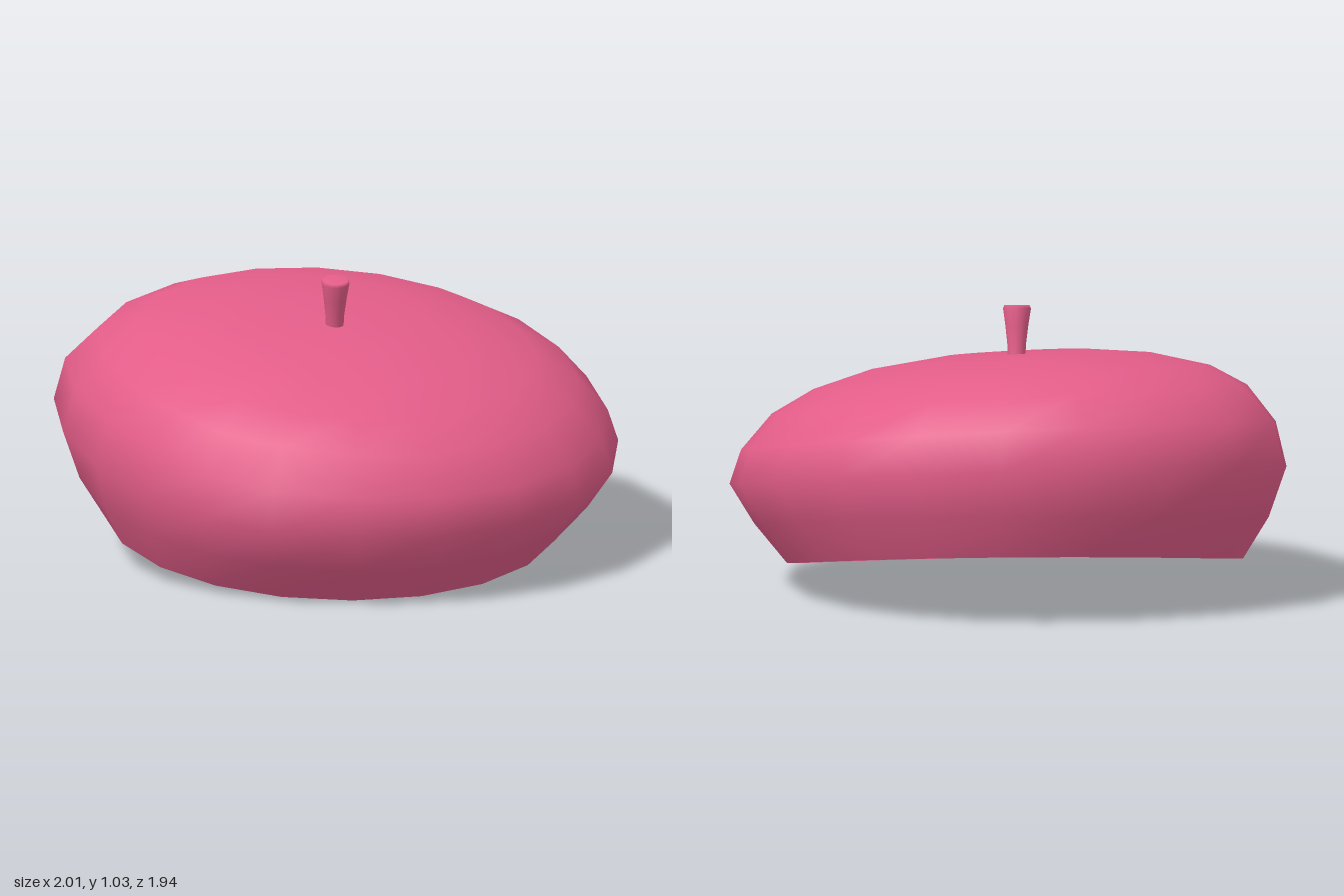
import * as THREE from 'three';
import { mergeVertices } from 'three/addons/utils/BufferGeometryUtils.js';

const SEGMENTS = 20;

// Crown cross-sections from rim to centre:
// [front z, y], [back z, y], [left-hand x, y], [right-hand x, y], flattening of one front corner
const LEVELS = [
  [[0.75, 0.0], [-0.85, 0.26], [-0.85, 0.13], [0.79, 0.10], 0],
  [[0.88, 0.14], [-0.93, 0.42], [-0.97, 0.28], [0.91, 0.24], 0.05],
  [[0.97, 0.28], [-0.97, 0.59], [-1.06, 0.46], [1.0, 0.38], 0.1],
  [[0.97, 0.43], [-0.92, 0.73], [-1.02, 0.62], [0.96, 0.50], 0.1],
  [[0.88, 0.57], [-0.80, 0.83], [-0.90, 0.75], [0.85, 0.63], 0.07],
  [[0.74, 0.67], [-0.65, 0.88], [-0.75, 0.82], [0.70, 0.72], 0.04],
  [[0.58, 0.745], [-0.43, 0.90], [-0.52, 0.86], [0.49, 0.79], 0.02],
  [[0.33, 0.82], [-0.20, 0.89], [-0.29, 0.87], [0.23, 0.84], 0],
  [[0.06, 0.85], [0.06, 0.85], [-0.03, 0.85], [-0.03, 0.85], 0],
];

// One slanted ring through its four cardinal points
function ring([f, b, l, r, flat], scale = 1, drop = 0) {
  const cx = (l[0] + r[0]) / 2, cz = (f[0] + b[0]) / 2;
  const rx = (r[0] - l[0]) / 2, rz = (f[0] - b[0]) / 2;
  const mean = (f[1] + b[1] + l[1] + r[1]) / 4;
  const twist = (l[1] + r[1] - f[1] - b[1]) / 4;
  return Array.from({ length: SEGMENTS }, (_, i) => {
    const t = (i / SEGMENTS) * Math.PI * 2;
    const c = Math.cos(t), s = Math.sin(t);
    const near = Math.abs(t - 2.65) < Math.PI / 4 ? Math.cos(2 * (t - 2.65)) : 0;
    return [
      cx + rx * scale * c + flat * near,
      mean + (c * (r[1] - l[1])) / 2 + (s * (f[1] - b[1])) / 2 + twist * Math.cos(2 * t) - drop,
      cz + rz * scale * s,
    ];
  });
}

// Skin a list of rings with smooth normals
function loft(rings, inward = false) {
  const index = [];
  for (let k = 0; k < rings.length - 1; k++) {
    for (let i = 0; i < SEGMENTS; i++) {
      const j = (i + 1) % SEGMENTS;
      const a = k * SEGMENTS + i, b = k * SEGMENTS + j;
      const c = a + SEGMENTS, d = b + SEGMENTS;
      if (inward) index.push(a, b, c, b, d, c);
      else index.push(a, c, b, b, c, d);
    }
  }
  const geometry = new THREE.BufferGeometry();
  geometry.setAttribute('position', new THREE.Float32BufferAttribute(rings.flat(2), 3));
  geometry.setIndex(index);
  const merged = mergeVertices(geometry, 1e-5);
  merged.computeVertexNormals();
  return merged;
}

export function createModel() {
  const group = new THREE.Group();
  group.name = 'beret';
  const felt = new THREE.MeshStandardMaterial({ color: 0xe35d89 });
  felt.name = 'pink felt';

  const add = (name, geometry) => {
    const mesh = new THREE.Mesh(geometry, felt);
    mesh.name = name;
    group.add(mesh);
    return mesh;
  };

  // Puffy outer crown, hollow lining and the thin lip joining them
  const outer = LEVELS.map((level) => ring(level));
  const inner = LEVELS.map((level, k) => ring(level, 0.975, k > 2 ? 0.02 : 0));
  add('crown', loft(outer));
  add('lining', loft(inner, true));
  add('rimLip', loft([inner[0], outer[0]]));

  // Flared stalk leaning towards the front
  const profile = [[0.032, -0.02], [0.034, 0.04], [0.042, 0.11], [0.051, 0.17], [0.046, 0.182], [0, 0.178]]
    .map(([x, y]) => new THREE.Vector2(x, y));
  const stalk = add('stalk', new THREE.LatheGeometry(profile, 14));
  stalk.position.set(-0.03, 0.845, 0.06);
  stalk.rotation.x = 0.18;

  return group;
}
